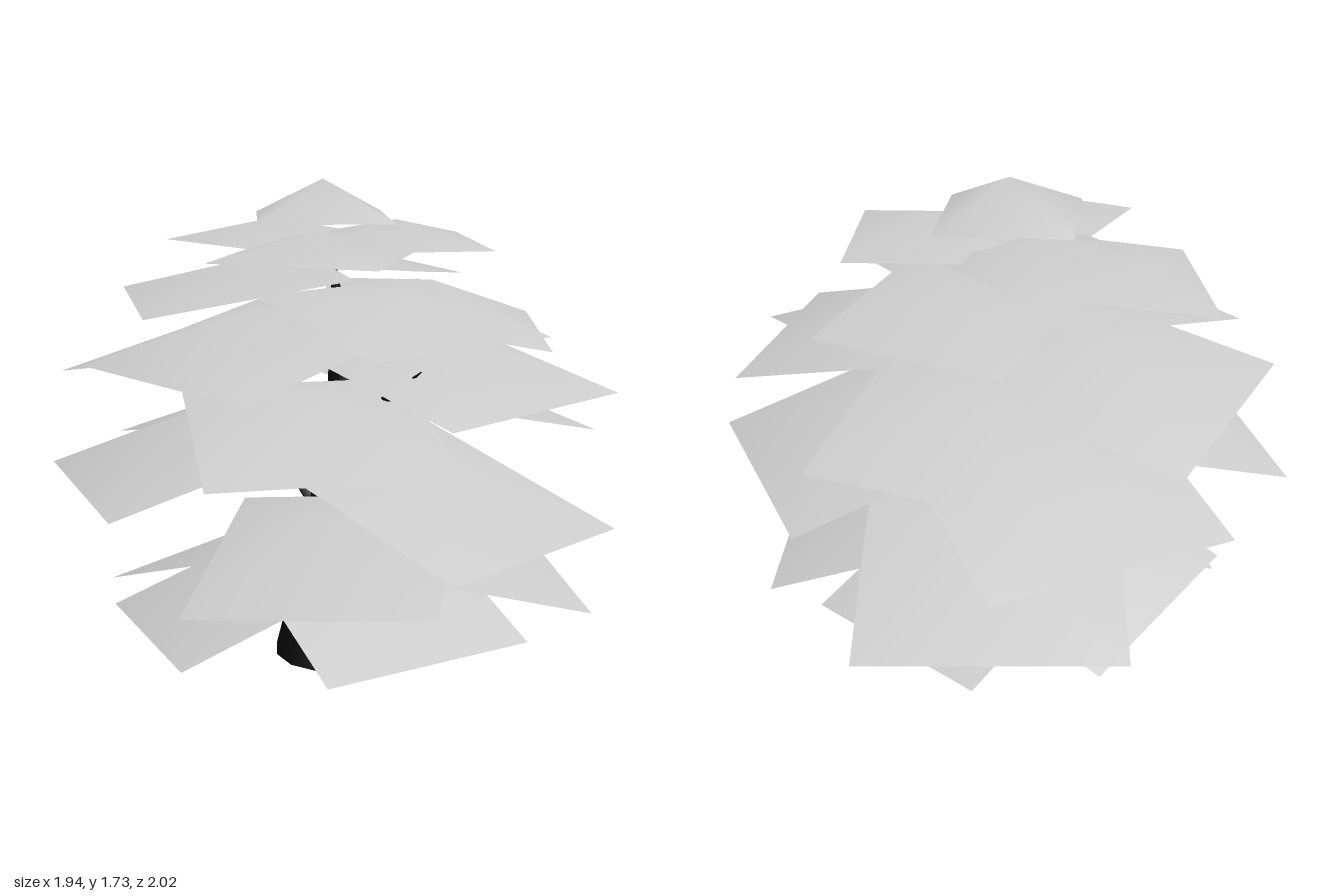
import * as THREE from 'three';

// Each tier: sheet width, rise of the inner edge, lift of the middle, and its boughs
// as [degrees around, radius, height of outer edge, optional twist, optional roll].
const tiers = [
  { name: 'crown', width: 0.46, rise: 0, lift: 0.135, boughs: [[43, 0.19, 1.595]] },
  { name: 'topBough', width: 0.57, rise: 0, lift: 0.08, boughs: [
    [58, 0.53, 1.5, 6], [184, 0.56, 1.5, -5], [309, 0.54, 1.51]] },
  { name: 'highBough', width: 0.69, rise: 0.1, lift: 0.075, boughs: [
    [13, 0.79, 1.27], [123, 0.67, 1.33], [245, 0.7, 1.325]] },
  { name: 'upperBough', width: 0.79, rise: 0.13, lift: 0.12, boughs: [
    [354, 0.87, 1.04, 13], [44, 0.86, 0.9, -8], [88, 0.78, 1.14, 3],
    [157, 0.84, 1.03, 0, 6], [235, 0.88, 0.96, 0, -3], [305, 0.81, 1.17, 14],
    [50, 0.965, 0.515, 9, 5]] },
  { name: 'middleBough', width: 0.88, rise: 0.23, lift: 0.12, boughs: [
    [1, 0.96, 0.605, 0, -3], [114, 0.9, 0.72, 0, 3], [195, 0.88, 0.69, -3],
    [221, 0.94, 0.42, -4], [283, 0.94, 0.79], [312, 0.86, 0.295, -5, 3]] },
  { name: 'bottomBough', width: 0.77, rise: 0.24, lift: 0.09, boughs: [
    [16, 0.7, 0.195, 4], [101, 0.75, 0.225, 11, 5], [162, 0.66, 0.225, 4, 8],
    [261, 0.61, 0.125, -3]] },
];

// Square sheet with a raised middle; outer edge through the origin, facing +z
function boughGeometry(width, rise, lift) {
  const h = width / 2;
  const geometry = new THREE.BufferGeometry().setFromPoints([
    new THREE.Vector3(-h, 0, 0),
    new THREE.Vector3(h, 0, 0),
    new THREE.Vector3(h, rise, -width),
    new THREE.Vector3(-h, rise, -width),
    new THREE.Vector3(0, rise / 2 + lift, -h),
  ]);
  geometry.setIndex([0, 1, 4, 1, 2, 4, 2, 3, 4, 3, 0, 4]);
  geometry.computeVertexNormals();
  return geometry;
}

// Tapering round limb through rings of [x, y, z, radius], from base to tip
function limbGeometry(rings, sides) {
  const last = rings.length - 1;
  const geometry = new THREE.CylinderGeometry(1, 1, 1, sides, last);
  const p = geometry.attributes.position;
  for (let i = 0; i < p.count; i++) {
    const [x, y, z, r] = rings[Math.round((p.getY(i) + 0.5) * last)];
    p.setXYZ(i, x + p.getX(i) * r, y, z + p.getZ(i) * r);
  }
  geometry.computeVertexNormals();
  return geometry;
}

export function createModel() {
  const tree = new THREE.Group();
  tree.name = 'tree';

  const foliage = new THREE.MeshStandardMaterial({ color: 0xcccccc, side: THREE.DoubleSide });
  foliage.name = 'foliage';
  const bark = new THREE.MeshStandardMaterial({ color: 0x0a0a0a });
  bark.name = 'bark';

  const add = (name, geometry, material) => {
    const mesh = new THREE.Mesh(geometry, material);
    mesh.name = name;
    tree.add(mesh);
    return mesh;
  };

  // Trunk, slightly crooked
  add('trunk', limbGeometry([
    [0.055, 0, 0.025, 0.205],
    [0.04, 0.4, 0, 0.11],
    [0.025, 0.95, -0.08, 0.06],
    [0, 1.48, -0.05, 0.004],
  ], 12), bark);

  // Bare branches reaching out from the trunk
  for (const [x, y, z] of [[0.56, 1.16, 0.14], [0.05, 0.87, -0.58], [-0.26, 0.8, 0.06]]) {
    add('branch', limbGeometry([[0.04, y - 0.35, -0.04, 0.06], [x, y, z, 0.003]], 6), bark);
  }

  // Foliage tiers
  for (const { name, width, rise, lift, boughs } of tiers) {
    const sheet = boughGeometry(width, rise, lift);
    for (const [degrees, radius, height, twist = 0, roll = 0] of boughs) {
      const angle = THREE.MathUtils.degToRad(degrees);
      const bough = add(name, sheet, foliage);
      bough.position.set(Math.cos(angle) * radius, height, Math.sin(angle) * radius);
      bough.rotation.y = Math.PI / 2 - angle - THREE.MathUtils.degToRad(twist);
      bough.rotation.z = THREE.MathUtils.degToRad(roll);
    }
  }
  return tree;
}
